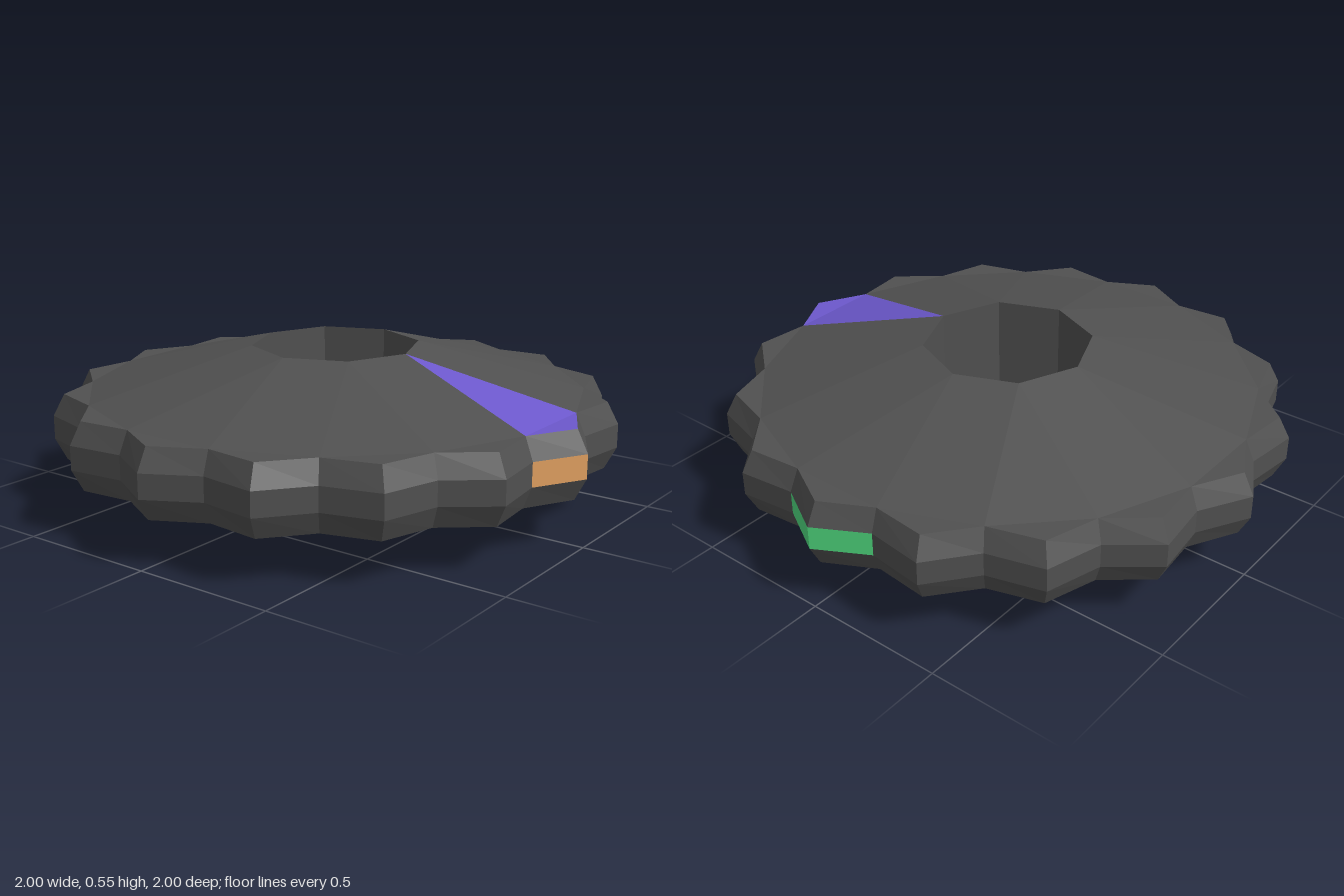
import * as THREE from 'three';

const TEETH = 16, HEIGHT = 0.547;
// Rim cross-section: height, tooth tip radius, valley radius
const RIM = [
  [0.155, 0.96, 0.885],
  [0.232, 1.0, 0.918],
  [0.316, 1.0, 0.918],
  [0.393, 0.96, 0.885],
];
const HOLE = 0.3;

// Point at a tooth position (in teeth around the axis)
const at = (r, tooth, y) => {
  const a = (tooth / TEETH) * Math.PI * 2;
  return [r * Math.cos(a), y, r * Math.sin(a)];
};
const rimPoint = (level, half) => {
  const [y, tip, valley] = RIM[level];
  return at(half % 2 ? valley : tip, half / 2, y);
};

// Flat-shaded mesh from convex polygons, corners counter-clockwise from outside
function facetMesh(name, polygons, material) {
  const pos = [];
  for (const p of polygons) {
    for (let i = 1; i < p.length - 1; i++) pos.push(...p[0], ...p[i], ...p[i + 1]);
  }
  const geo = new THREE.BufferGeometry();
  geo.setAttribute('position', new THREE.Float32BufferAttribute(pos, 3));
  geo.computeVertexNormals();
  const mesh = new THREE.Mesh(geo, material);
  mesh.name = name;
  return mesh;
}

// One sloping sector of the upper face, with the flat tooth tip at its end
function topSector(k) {
  const v1 = rimPoint(3, 2 * k - 1), v2 = rimPoint(3, 2 * k + 1), tip = rimPoint(3, 2 * k);
  const inner = k % 2 ? [at(HOLE, k - 1, HEIGHT), at(HOLE, k + 1, HEIGHT)] : [at(HOLE, k, HEIGHT)];
  return [[...inner, v2, v1], [v1, v2, tip]];
}

// The same polygons on the underside
const flip = (polygons) =>
  polygons.map((p) => p.map(([x, y, z]) => [x, HEIGHT - y, z]).reverse());

// Both flanks of a tooth between two rim levels
function toothBand(k, level) {
  return [2 * k - 1, 2 * k].map((h) => [
    rimPoint(level, h), rimPoint(level + 1, h), rimPoint(level + 1, h + 1), rimPoint(level, h + 1),
  ]);
}

export function createModel() {
  const paint = (color) => new THREE.MeshStandardMaterial({ color, flatShading: true });
  const dark = paint(0x505050);
  const group = new THREE.Group();
  group.name = 'toothedDisc';

  const top = [], bottom = [], bevels = [], band = [], bore = [];
  for (let k = 0; k < TEETH; k++) {
    const sector = topSector(k);
    if (k !== 0) top.push(...sector);
    bottom.push(...flip(sector));
    bevels.push(...toothBand(k, 0), ...toothBand(k, 2));
    if (k !== 0 && k !== 12) band.push(...toothBand(k, 1));
    // Octagonal hole wall, facing the axis
    if (k % 2 === 0) {
      bore.push([at(HOLE, k, 0), at(HOLE, k + 2, 0), at(HOLE, k + 2, HEIGHT), at(HOLE, k, HEIGHT)]);
    }
  }

  group.add(
    facetMesh('upperFace', top, dark),
    facetMesh('lowerFace', bottom, dark),
    facetMesh('rimBevels', bevels, dark),
    facetMesh('rimBand', band, dark),
    facetMesh('holeWall', bore, dark),
    // Coloured markers
    facetMesh('purpleSector', topSector(0), paint(0x6c58cc)),
    facetMesh('orangeTooth', toothBand(0, 1), paint(0xe0a060)),
    facetMesh('greenTooth', toothBand(12, 1), paint(0x50dc80)),
  );
  return group;
}
